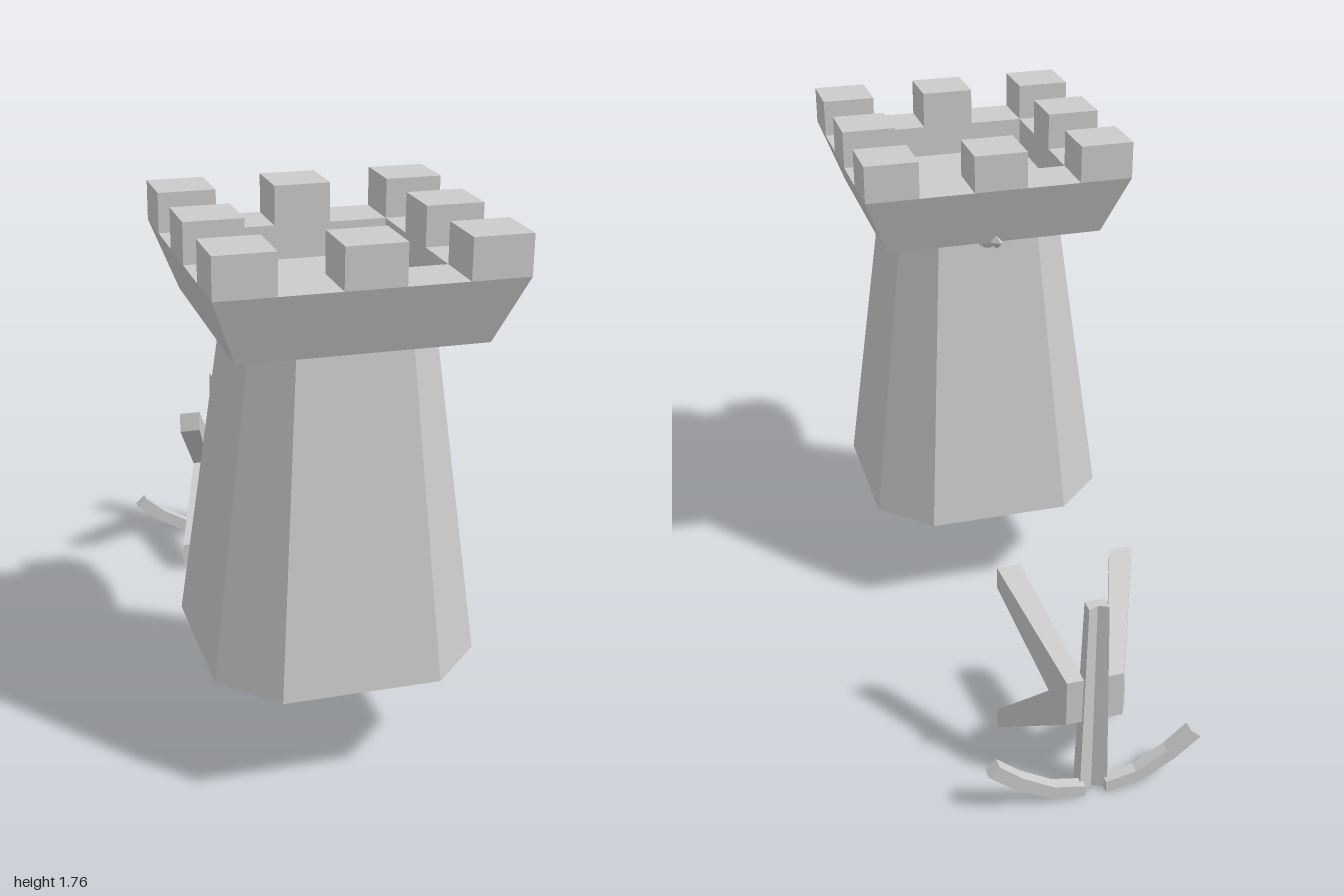
import * as THREE from 'three';

const material = new THREE.MeshStandardMaterial({ color: 0xcccccc, flatShading: true, side: THREE.DoubleSide });
const lerp = THREE.MathUtils.lerp;

function add(parent, name, geometry, x = 0, y = 0, z = 0) {
  const mesh = new THREE.Mesh(geometry, material);
  mesh.name = name;
  mesh.position.set(x, y, z);
  parent.add(mesh);
  return mesh;
}

// Move every vertex by a rule
function reshape(geometry, rule) {
  const p = geometry.attributes.position;
  const v = new THREE.Vector3();
  for (let i = 0; i < p.count; i++) {
    rule(v.fromBufferAttribute(p, i));
    p.setXYZ(i, v.x, v.y, v.z);
  }
  geometry.computeVertexNormals();
  return geometry;
}

const shapeOf = (points) => new THREE.Shape(points.map(([x, y]) => new THREE.Vector2(x, y)));

function createTower() {
  const tower = new THREE.Group();
  tower.name = 'tower';
  tower.position.z = 0.545;

  // Tapered shaft with four wide and four narrow sides, open below
  const shaft = new THREE.CylinderGeometry(1, 1, 1, 8, 1, true).rotateY(Math.PI / 8);
  reshape(shaft, (v) => {
    const t = v.y + 0.5;
    const wide = lerp(0.42, 0.285, t), narrow = lerp(0.25, 0.175, t);
    v.x = Math.sign(v.x) * (Math.abs(v.x) > 0.6 ? wide : narrow);
    v.z = Math.sign(v.z) * (Math.abs(v.z) > 0.6 ? wide : narrow);
    v.y = lerp(0.36, 1.43, t);
  });
  add(tower, 'shaft', shaft);

  // Flared square platform with a sunken floor
  const profile = [[0, 1.43], [0.375, 1.43], [0.455, 1.64], [0.275, 1.64], [0.275, 1.53], [0, 1.53]]
    .map(([half, y]) => new THREE.Vector2(half * Math.SQRT2, y));
  add(tower, 'platform', new THREE.LatheGeometry(profile, 4, Math.PI / 4));

  // Eight battlement blocks around the rim
  for (const i of [-1, 0, 1]) {
    for (const k of [-1, 0, 1]) {
      if (i || k) add(tower, 'battlement', new THREE.BoxGeometry(0.18, 0.125, 0.18), i * 0.365, 1.7025, k * 0.365);
    }
  }

  // Small boss and spike on the back wall
  const boss = new THREE.ConeGeometry(0.065, 0.025, 10).rotateX(-Math.PI / 2);
  add(tower, 'spikeBoss', boss, 0, 1.4, -0.292).rotation.x = -0.13;
  const spike = new THREE.Group();
  spike.name = 'spike';
  spike.position.set(0, 1.405, -0.285);
  spike.rotation.x = 0.27;
  tower.add(spike);
  add(spike, 'spikeShaft', new THREE.CylinderGeometry(0.008, 0.016, 0.11, 4).rotateX(-Math.PI / 2), 0, 0, -0.055);
  add(spike, 'spikeTip', new THREE.ConeGeometry(0.022, 0.07, 4).rotateX(-Math.PI / 2), 0, 0, -0.142);
  return tower;
}

function createCrossbow() {
  const crossbow = new THREE.Group();
  crossbow.name = 'crossbow';

  // Upright stock, tapering upward, with a V groove along its back
  const section = shapeOf([[-1, 0], [-1, -1], [1, -1], [1, 0], [0, 0.35 * -1]]);
  const stock = new THREE.ExtrudeGeometry(section, { depth: 1, bevelEnabled: false }).rotateX(-Math.PI / 2);
  reshape(stock, (v) => {
    v.x *= lerp(0.046, 0.032, v.y);
    v.z = -0.98 + v.z * lerp(0.066, 0.045, v.y);
    v.y *= 0.705;
  });
  add(crossbow, 'stock', stock);

  // Curved bow arms, one on each side of the stock
  const arm = [[0.035, 0], [0.15, 0.018], [0.265, 0.082], [0.35, 0.152],
    [0.315, 0.185], [0.238, 0.12], [0.135, 0.06], [0.035, 0.04]];
  for (const side of [-1, 1]) {
    const outline = shapeOf(arm.map(([x, y]) => [x * side, y]));
    add(crossbow, 'bowArm', new THREE.ExtrudeGeometry(outline, { depth: 0.04, bevelEnabled: false }), 0, 0, -1);
  }

  // Four splayed legs reaching forward from the middle of the stock
  for (const sx of [-1, 1]) {
    for (const sy of [-1, 1]) {
      const leg = reshape(new THREE.BoxGeometry(1, 1, 1), (v) => {
        const t = v.z + 0.5;
        v.x = sx * lerp(0.065, 0.186, t) + v.x * lerp(0.055, 0.076, t);
        v.y = 0.355 + sy * lerp(0, 0.282, t) + v.y * lerp(0.16, 0.075, t);
        v.z = lerp(-0.967, -0.645, t);
      });
      add(crossbow, 'leg', leg);
    }
  }
  return crossbow;
}

export function createModel() {
  const model = new THREE.Group();
  model.name = 'towerAndCrossbow';
  model.add(createTower(), createCrossbow());
  return model;
}
